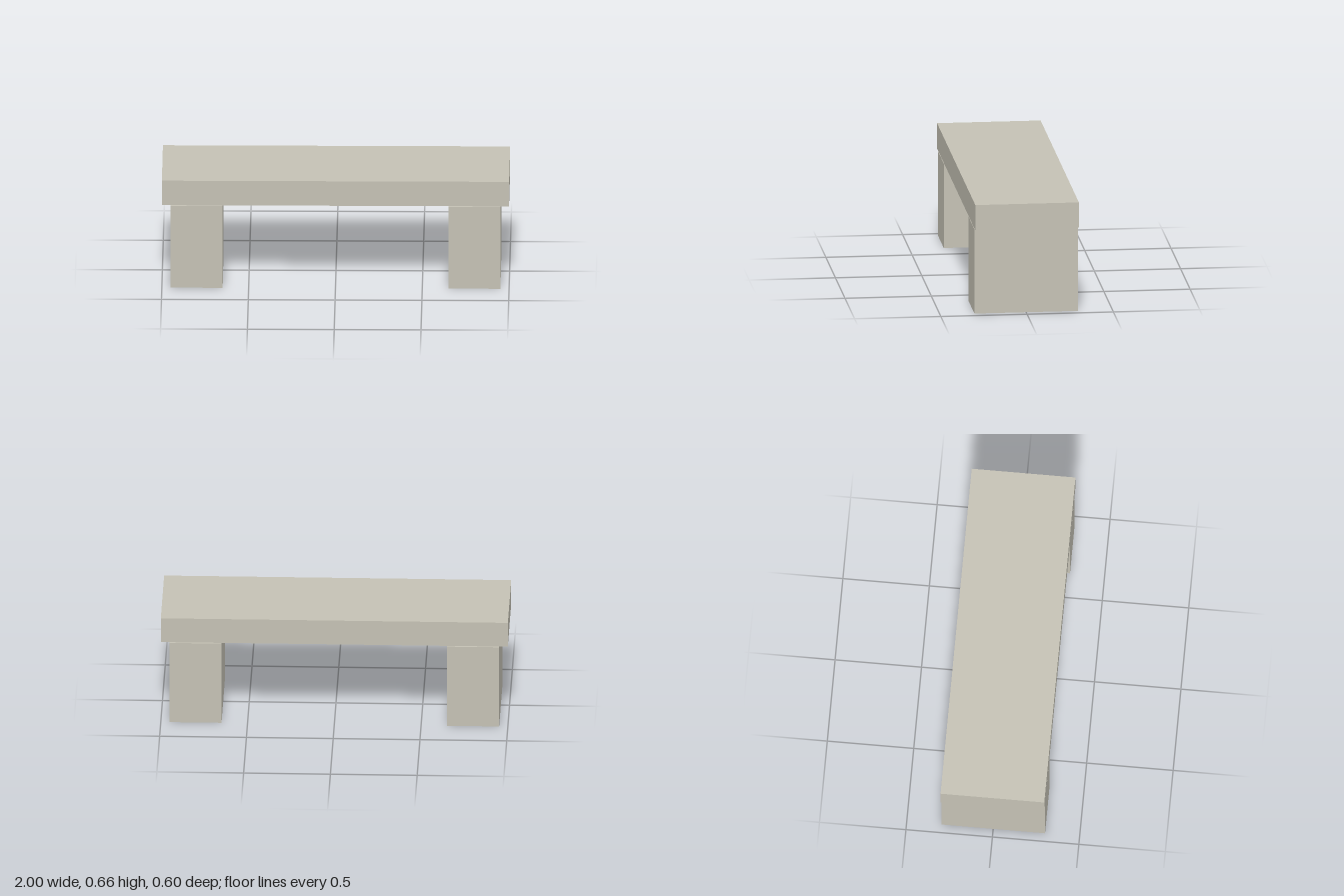
import * as THREE from 'three';

export function createModel() {
  const model = new THREE.Group();
  model.name = 'bench';
  const stone = new THREE.MeshStandardMaterial({ color: 0xc4c1b4 });
  stone.name = 'pale stone';

  const depth = 0.6;
  const addBlock = (name, width, height, x, bottom) => {
    const block = new THREE.Mesh(new THREE.BoxGeometry(width, height, depth), stone);
    block.name = name;
    block.position.set(x, bottom + height / 2, 0);
    model.add(block);
  };

  // Seat slab, resting a hairline joint above the supports
  addBlock('seat', 2, 0.15, 0, 0.505);

  // Mirrored support blocks
  for (const [name, side] of [['leftSupport', 1], ['rightSupport', -1]]) {
    addBlock(name, 0.3, 0.5, side * 0.8, 0);
  }

  return model;
}
